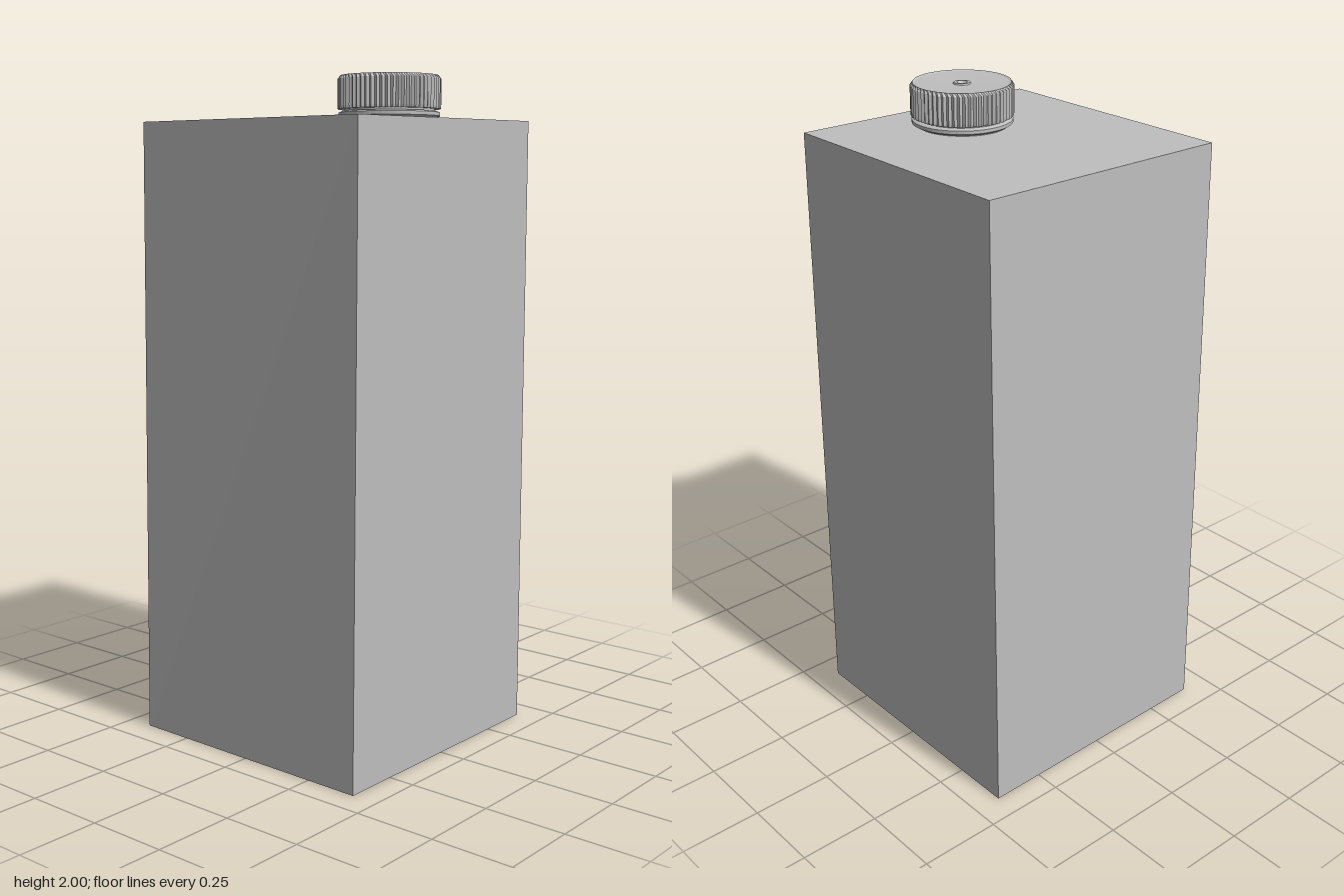
import * as THREE from 'three';

const grey = new THREE.MeshStandardMaterial({ color: 0xbebebe });
grey.name = 'plain grey';

// Facet a geometry so that every face has its own normal
function faceted(geometry) {
  const g = geometry.toNonIndexed();
  g.computeVertexNormals();
  return g;
}

function addPart(parent, name, geometry) {
  const mesh = new THREE.Mesh(geometry, grey);
  mesh.name = name;
  parent.add(mesh);
}

// Closed turned solid; profile runs from bottom axis to top axis
function turned(profile, segments) {
  return new THREE.LatheGeometry(profile.map(([r, y]) => new THREE.Vector2(r, y)), segments);
}

// Tall box whose corners are slightly out of square
function cartonGeometry() {
  const g = new THREE.BoxGeometry(1, 1, 1);
  const p = g.attributes.position;
  for (let i = 0; i < p.count; i++) {
    const left = p.getX(i) > 0, top = p.getY(i) > 0, front = p.getZ(i) > 0;
    const x = left ? 0.415 : top ? -0.403 : front ? -0.419 : -0.409;
    const z = front ? 0.418 : top ? -0.4 : left ? -0.424 : -0.418;
    const y = top ? (left || front ? 1.877 : 1.87) : 0;
    p.setXYZ(i, x, left || !top ? y : 1.871, z);
  }
  return faceted(g);
}

// Screw cap with fine vertical ribs around its wall
function ribbedCapGeometry() {
  const segments = 120;
  const profile = [[0, 1.904], [0.148, 1.904], [0.149, 1.912], [0.149, 1.99], [0.143, 2],
    [0.137, 1.997], [0.026, 1.994], [0.024, 1.998], [0.016, 1.998], [0.012, 1.992], [0, 1.991]];
  const g = turned(profile, segments);
  const p = g.attributes.position;
  for (let i = 0; i < p.count; i++) {
    const x = p.getX(i), z = p.getZ(i), r = Math.hypot(x, z);
    if (r < 0.146) continue;
    const column = Math.round(Math.atan2(x, z) / (Math.PI * 2) * segments) + segments;
    const k = column % 2 ? 0.972 : 1.012;
    p.setX(i, x * k);
    p.setZ(i, z * k);
  }
  return faceted(g);
}

export function createModel() {
  const model = new THREE.Group();
  model.name = 'carton';
  addPart(model, 'cartonBody', cartonGeometry());

  // Cap assembly sits towards the front of the carton top
  const closure = new THREE.Group();
  closure.name = 'closure';
  closure.position.set(0.009, 0, 0.2);
  model.add(closure);

  addPart(closure, 'neck', faceted(turned([[0, 1.87], [0.132, 1.87], [0.132, 1.906], [0, 1.906]], 48)));
  addPart(closure, 'tamperRing', faceted(turned(
    [[0, 1.878], [0.138, 1.878], [0.148, 1.884], [0.148, 1.894], [0.14, 1.898], [0, 1.898]], 48)));
  addPart(closure, 'ribbedCap', ribbedCapGeometry());
  return model;
}
